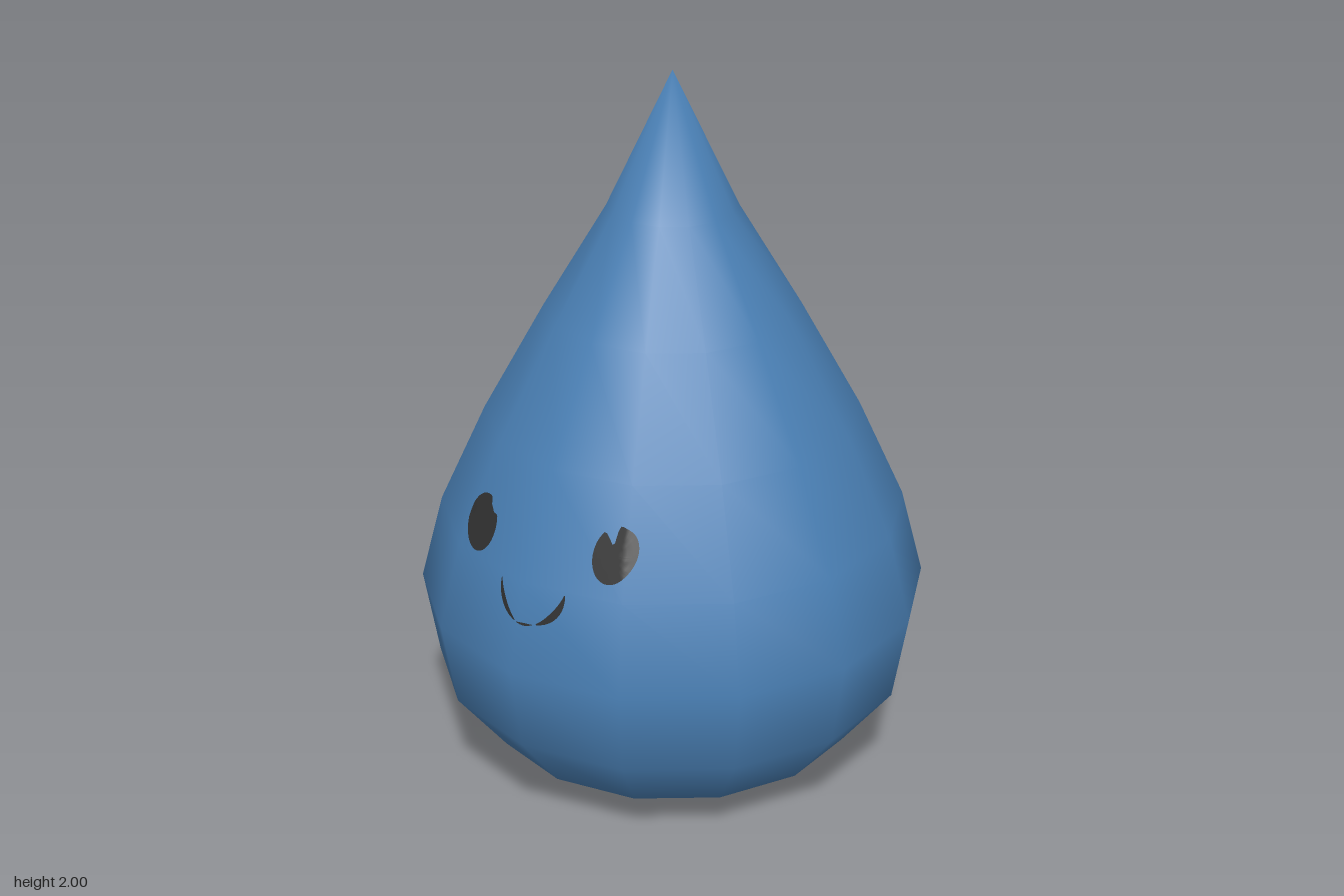
import * as THREE from 'three';
import { mergeVertices } from 'three/addons/utils/BufferGeometryUtils.js';

const SIDES = 14;
const STEP = (Math.PI * 2) / SIDES;
// [radius, height] of the drop, bottom to tip
const PROFILE = [
  [0.3, 0.03], [0.52, 0.125], [0.66, 0.305], [0.7, 0.545], [0.637, 0.785],
  [0.51, 1.06], [0.345, 1.355], [0.175, 1.635], [0, 2],
];

// depth of the faceted front surface at (x, y)
function frontZ(x, y) {
  let i = 0;
  while (i < PROFILE.length - 2 && y > PROFILE[i + 1][1]) i++;
  const [r0, y0] = PROFILE[i], [r1, y1] = PROFILE[i + 1];
  const inner = THREE.MathUtils.lerp(r0, r1, (y - y0) / (y1 - y0)) * Math.cos(STEP / 2);
  let z = Infinity;
  for (let k = -2; k < 2; k++) {
    const a = (k + 0.5) * STEP;
    z = Math.min(z, (inner - x * Math.sin(a)) / Math.cos(a));
  }
  return z;
}

// thin patch laid on the front; fn(u, v) gives its [x, y]
function decal(name, nu, nv, fn, material) {
  const g = new THREE.PlaneGeometry(1, 1, nu, nv);
  const p = g.attributes.position;
  for (let i = 0; i < p.count; i++) {
    const [x, y] = fn(p.getX(i) + 0.5, p.getY(i) + 0.5);
    p.setXYZ(i, x, y, frontZ(x, y) + 0.005);
  }
  g.computeVertexNormals();
  const mesh = new THREE.Mesh(g, material);
  mesh.name = name;
  return mesh;
}

// oval eye with a notch cut into its rim
function eye(name, cx, cy, notchDeg, notchWidth, notchDepth, material) {
  return decal(name, 5, 72, (u, v) => {
    const deg = v * 360, t = THREE.MathUtils.degToRad(deg);
    const inNotch = Math.max(0, 1 - Math.abs(deg - notchDeg) / notchWidth);
    const r = u * (1 - notchDepth * Math.min(1, inNotch * 2));
    return [cx + 0.056 * r * Math.cos(t), cy + 0.07 * r * Math.sin(t)];
  }, material);
}

// tapered arc stroke of the smile
function stroke(from, to, width, material) {
  return decal('mouthStroke', 2, 20, (u, v) => {
    const t = THREE.MathUtils.degToRad(from + (to - from) * v);
    const r = 0.101 + (u - 0.5) * width * (0.15 + 0.85 * Math.sin(Math.PI * v));
    return [0.02 + r * Math.cos(t), 0.783 + r * Math.sin(t)];
  }, material);
}

export function createModel() {
  const blue = new THREE.MeshStandardMaterial({ color: 0x4a80b5 });
  blue.name = 'dropBlue';
  const dark = new THREE.MeshStandardMaterial({ color: 0x2f2f2f });
  dark.name = 'faceDark';
  const model = new THREE.Group();
  model.name = 'waterDrop';

  // smooth body, welded so the tip is rounded in shading
  let bodyGeo = new THREE.LatheGeometry(PROFILE.map(([r, y]) => new THREE.Vector2(r, y)), SIDES);
  bodyGeo.deleteAttribute('uv');
  bodyGeo.deleteAttribute('normal');
  bodyGeo = mergeVertices(bodyGeo, 1e-4);
  bodyGeo.computeVertexNormals();
  const body = new THREE.Mesh(bodyGeo, blue);
  body.name = 'body';
  model.add(body);

  // shallow base with a hard rim
  const base = new THREE.Mesh(new THREE.LatheGeometry(
    [new THREE.Vector2(0, 0), new THREE.Vector2(0.3, 0.03)], SIDES), blue);
  base.name = 'base';
  model.add(base);

  // face
  model.add(eye('rightEye', -0.205, 0.866, 52, 24, 0.22, dark));
  model.add(eye('leftEye', 0.223, 0.895, 112, 20, 0.6, dark));
  const mouth = new THREE.Group();
  mouth.name = 'mouth';
  mouth.add(stroke(186, 254, 0.016, dark), stroke(258, 284, 0.007, dark), stroke(290, 357, 0.02, dark));
  model.add(mouth);
  return model;
}
